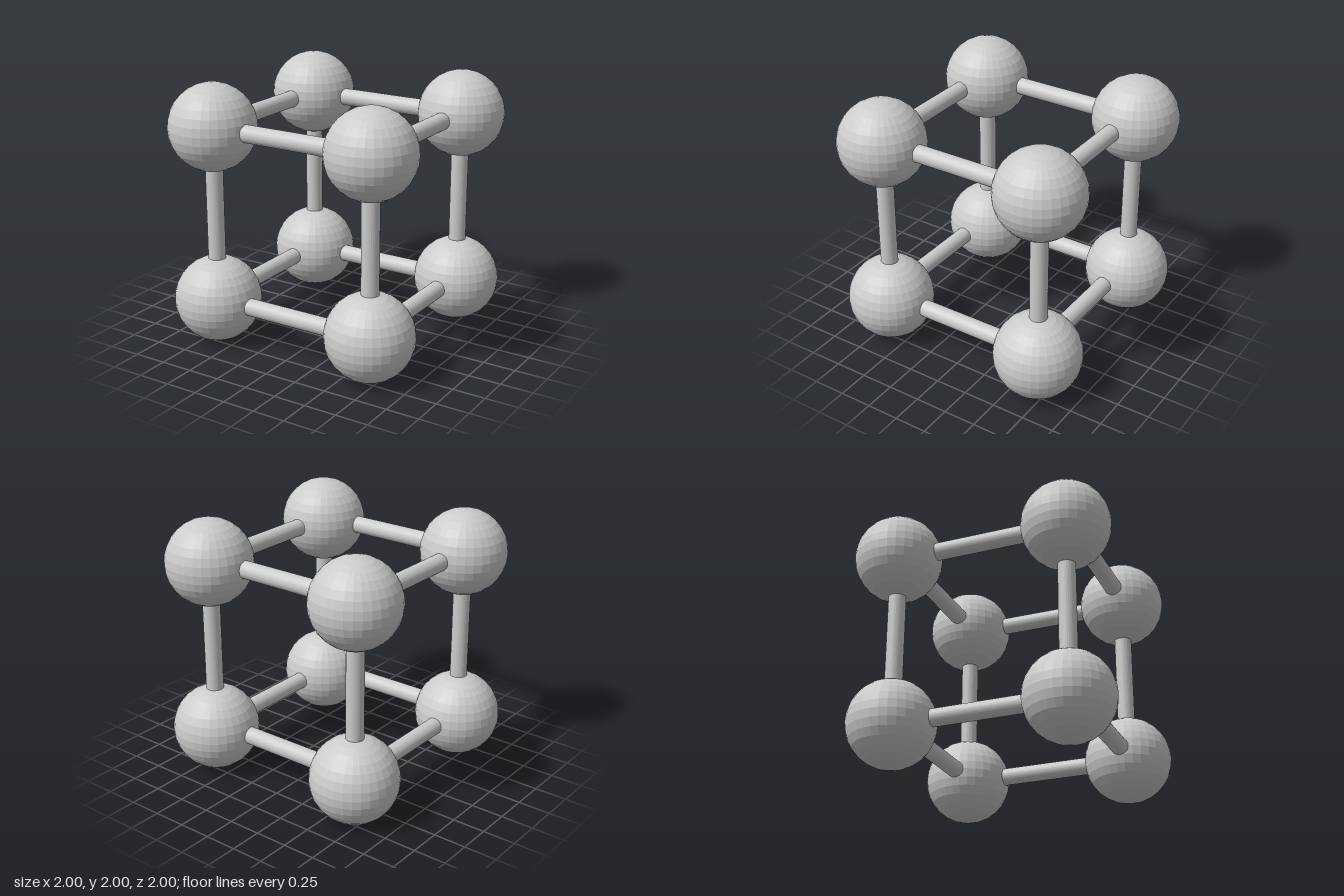
import * as THREE from 'three';

export function createModel() {
  const model = new THREE.Group();
  model.name = 'cubicLattice';
  const material = new THREE.MeshStandardMaterial({ color: 0xcccccc, flatShading: true });

  const half = 0.67;      // distance of each ball centre from the lattice centre
  const midY = 1;
  const ballRadius = 0.33;
  const rodRadius = 0.066;
  const crossRodShift = 0.03; // the sideways rods sit slightly forward
  const signs = [-1, 1];

  const ballGeometry = new THREE.SphereGeometry(ballRadius, 32, 16);
  const rodGeometry = new THREE.CylinderGeometry(rodRadius, rodRadius, 2 * half, 32);

  const add = (name, geometry, x, y, z) => {
    const mesh = new THREE.Mesh(geometry, material);
    mesh.name = name;
    mesh.position.set(x, midY + y, z);
    model.add(mesh);
    return mesh;
  };

  for (const a of signs) {
    for (const b of signs) {
      // Corner balls
      for (const c of signs) add('cornerBall', ballGeometry, a * half, b * half, c * half);

      // One rod along each axis for this pair of signs
      add('uprightRod', rodGeometry, a * half, 0, b * half);
      add('crossRod', rodGeometry, 0, a * half, b * half + crossRodShift).rotation.z = Math.PI / 2;
      add('depthRod', rodGeometry, a * half, b * half, 0).rotation.x = Math.PI / 2;
    }
  }
  return model;
}
